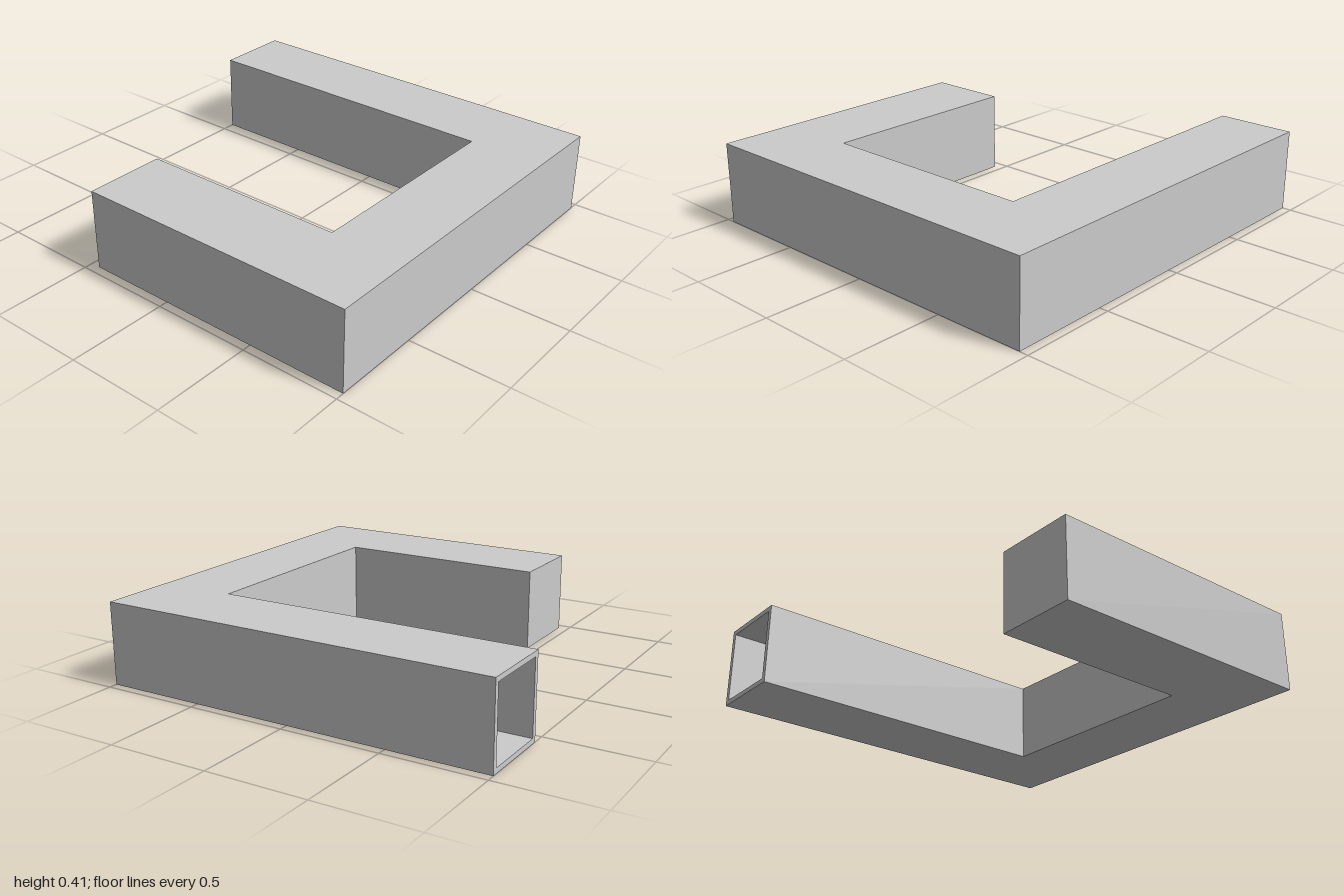
import * as THREE from 'three';
import { mergeGeometries } from 'three/addons/utils/BufferGeometryUtils.js';

const H = 0.41;   // duct height
const T = 0.025;  // wall thickness

// Plan outline [x, z], walked so that walls face outward; edge 3 is the open end.
const outline = (t, open) => [
  [-0.45 + t, 0.957 - t], [1 - t, 0.957 - t], [1 - t, -0.957 + t], [open, -0.957 + t],
  [open, -0.567 - t], [0.613 + t, -0.567 - t], [0.613 + t, 0.545 + t], [-0.45 + t, 0.545 + t],
];
const OPEN_EDGE = 3;

const polygon = (pts) => new THREE.Shape(pts.map(([x, y]) => new THREE.Vector2(x, y)));

// Horizontal panel at height y, facing up or down
function panel(pts, y, up) {
  const s = up ? -1 : 1;
  const g = new THREE.ShapeGeometry(polygon(pts.map(([x, z]) => [x, s * z])));
  return g.rotateX(s * Math.PI / 2).translate(0, y, 0);
}

// Upright panels along the outline, leaving the open end free
function walls(pts, y0, y1, inward) {
  const list = [];
  pts.forEach((a, i) => {
    if (i === OPEN_EDGE) return;
    const b = pts[(i + 1) % pts.length];
    const [p, q] = inward ? [b, a] : [a, b];
    const dx = q[0] - p[0], dz = q[1] - p[1];
    list.push(new THREE.PlaneGeometry(Math.hypot(dx, dz), y1 - y0)
      .rotateY(Math.atan2(-dz, dx))
      .translate((p[0] + q[0]) / 2, (y0 + y1) / 2, (p[1] + q[1]) / 2));
  });
  return list;
}

export function createModel() {
  const group = new THREE.Group();
  group.name = 'hookedDuct';
  const material = new THREE.MeshStandardMaterial({ color: 0xcccccc, flatShading: true });
  const add = (name, geometry) => {
    const mesh = new THREE.Mesh(geometry, material);
    mesh.name = name;
    group.add(mesh);
  };

  // Outer skin
  const outer = outline(0, -1);
  add('outerShell', mergeGeometries([
    panel(outer, H, true), panel(outer, 0, false), ...walls(outer, 0, H, false),
  ]));

  // Hollow inside, reached through the open end
  const inner = outline(T, -1);
  add('innerLining', mergeGeometries([
    panel(inner, T, true), panel(inner, H - T, false), ...walls(inner, T, H - T, true),
  ]));

  // Thin rim around the opening
  const z0 = -0.957, z1 = -0.567;
  const rim = polygon([[z0, 0], [z1, 0], [z1, H], [z0, H]]);
  rim.holes.push(polygon([[z0 + T, T], [z0 + T, H - T], [z1 - T, H - T], [z1 - T, T]]));
  add('openEndRim', new THREE.ShapeGeometry(rim).rotateY(-Math.PI / 2).translate(-1, 0, 0));

  return group;
}
